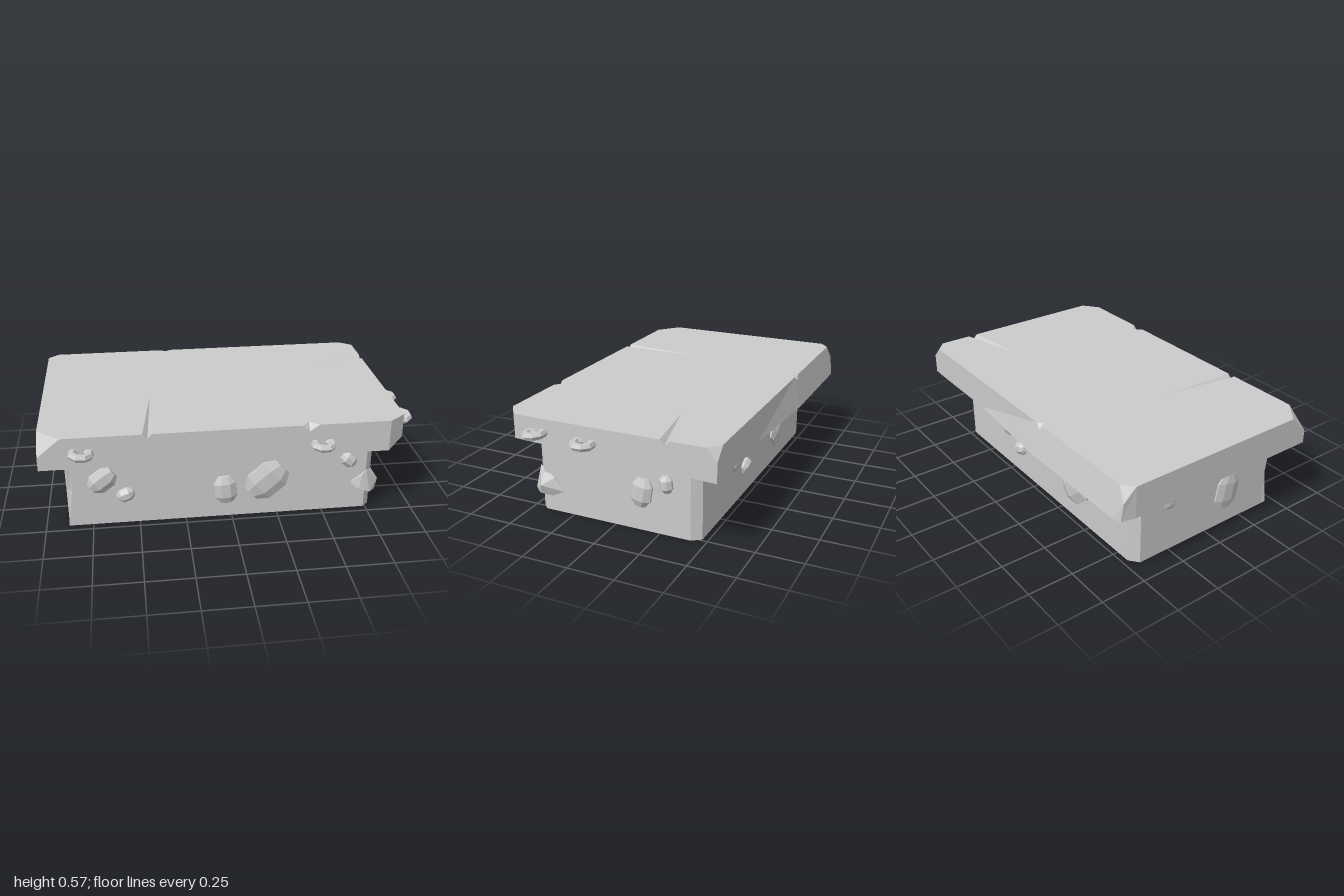
import * as THREE from 'three';
import { ConvexGeometry } from 'three/addons/geometries/ConvexGeometry.js';

const mat = new THREE.MeshStandardMaterial({ color: 0xcccccc, flatShading: true });

function named(name, geometry) {
  const m = new THREE.Mesh(geometry, mat);
  m.name = name;
  return m;
}

// Small triangle collector for faceted solids; points are [x, y, z].
function facets() {
  const pos = [];
  const tri = (a, b, c) => pos.push(...a, ...b, ...c);
  return {
    tri,
    // wall between two rings running counter-clockwise seen from above
    wall(low, high) {
      low.forEach((a, i) => {
        const j = (i + 1) % low.length;
        tri(a, low[j], high[j]);
        tri(a, high[j], high[i]);
      });
    },
    // polygon cap facing up (1) or down (-1)
    cap(ring, dir) {
      const flat = ring.map(p => new THREE.Vector2(p[0], -p[2]));
      for (const [i, j, k] of THREE.ShapeUtils.triangulateShape(flat, [])) {
        const a = flat[i], b = flat[j], c = flat[k];
        const area = (b.x - a.x) * (c.y - a.y) - (b.y - a.y) * (c.x - a.x);
        if (area * dir > 0) tri(ring[i], ring[j], ring[k]);
        else tri(ring[i], ring[k], ring[j]);
      }
    },
    mesh(name) {
      const g = new THREE.BufferGeometry();
      g.setAttribute('position', new THREE.Float32BufferAttribute(pos, 3));
      g.computeVertexNormals();
      return named(name, g);
    },
  };
}

// Stone body with bevelled corners and one corner worn in at mid height
function makeBody() {
  const outline = [[-0.88, 0.455], [-0.85, 0.455], [0.74, 0.455], [0.775, 0.42],
    [0.775, -0.42], [0.74, -0.47], [-0.83, -0.47], [-0.88, -0.43], [-0.88, 0.425]];
  const ring = y => outline.map(([x, z]) => [x, y, z]);
  const bottom = ring(0), middle = ring(0.21), top = ring(0.43);
  middle[0] = [-0.86, 0.21, 0.435];
  const f = facets();
  f.wall(bottom, middle);
  f.wall(middle, top);
  f.cap(bottom, -1);
  f.cap(top, 1);
  return f.mesh('body');
}

// Lid slab: every chip, crack and broken corner is a start, a low point, an end
// and, where it runs into the top, a tip.
function makeLid() {
  const T = 0.575;
  const edge = [
    { cut: [[-0.47, 0.56], [-0.445, 0.56], [-0.42, 0.56]], low: 0.55, tip: [-0.41, 0.09] },
    { cut: [[0.35, 0.56], [0.39, 0.56], [0.44, 0.56]], low: 0.54, tip: [0.39, 0.52] },
    { at: [0.82, 0.56] },
    { at: [0.91, 0.49] },
    { cut: [[0.91, -0.32], [0.91, -0.345], [0.91, -0.375]], low: 0.55, tip: [0.56, -0.27] },
    { cut: [[0.91, -0.555], [0.91, -0.61], [0.84, -0.61]], low: 0.51 },
    { at: [0.35, -0.61] },
    { cut: [[-0.25, -0.61], [-0.28, -0.616], [-0.31, -0.61]], low: 0.55, tip: [-0.28, -0.59] },
    { cut: [[-0.94, -0.61], [-0.99, -0.625], [-1, -0.56]], low: 0.5 },
    { cut: [[-1, 0.46], [-1, 0.56], [-0.88, 0.56]], low: 0.475 },
  ];

  const top = [], rim = [];
  const f = facets();
  for (const e of edge) {
    if (e.at) {
      const p = [e.at[0], T, e.at[1]];
      top.push(p);
      rim.push(p);
      continue;
    }
    const [a, low, b] = e.cut.map(([x, z], i) => [x, i === 1 ? e.low : T, z]);
    rim.push(a, low, b);
    if (e.tip) {
      const tip = [e.tip[0], T, e.tip[1]];
      top.push(a, tip, b);
      f.tri(a, low, tip);
      f.tri(low, b, tip);
    } else {
      top.push(a, b);
      f.tri(a, low, b);
    }
  }

  // underside: flared along the back, raised along the right edge
  const bottom = rim.map(([x, , z]) => {
    const y = x > 0.9 ? THREE.MathUtils.mapLinear(z, -0.61, 0.49, 0.405, 0.445) : 0.402;
    if (z > -0.6) return [x, y, z];
    if (x < -0.97) return [-0.985, y, -0.635];
    return [x, y, -0.61 - 0.04 * THREE.MathUtils.clamp((0.35 - x) / 0.6, 0, 1)];
  });
  f.wall(bottom, rim);
  f.cap(top, 1);
  f.cap(bottom, -1);
  return f.mesh('lid');
}

// Turn that makes local +z point out of each side
const TURN = { front: 0, right: Math.PI / 2, back: Math.PI, left: -Math.PI / 2 };

function onSide(mesh, side, x, y, z, tilt) {
  mesh.position.set(x, y, z);
  mesh.rotation.set(0, TURN[side], tilt);
  return mesh;
}

export function createModel() {
  const model = new THREE.Group();
  model.name = 'stoneChest';
  model.add(makeBody(), makeLid());

  // Embedded stones: eight-sided crystals with bevelled ends, a flat facing out
  const profile = [[0, -1], [0.55, -1], [1, -0.5], [1, 0.5], [0.55, 1], [0, 1]]
    .map(([r, y]) => new THREE.Vector2(r, y));
  const crystal = new THREE.LatheGeometry(profile, 8, Math.PI / 8);
  // side, x, y, z, width, height, tilt
  const stones = [
    ['front', -0.69, 0.27, 0.455, 0.13, 0.15, -0.9],
    ['front', -0.57, 0.175, 0.455, 0.08, 0.09, -1.2],
    ['front', -0.035, 0.17, 0.455, 0.13, 0.16, 0.1],
    ['front', 0.19, 0.21, 0.455, 0.2, 0.23, -0.85],
    ['front', 0.635, 0.305, 0.455, 0.08, 0.09, 0.9],
    ['right', 0.775, 0.215, -0.155, 0.12, 0.155, -0.15],
    ['right', 0.775, 0.285, -0.29, 0.075, 0.09, 0.1],
    ['back', 0.29, 0.27, -0.47, 0.13, 0.15, -0.9],
    ['back', 0.16, 0.17, -0.47, 0.08, 0.09, -1.2],
    ['back', -0.39, 0.21, -0.47, 0.2, 0.23, -0.85],
    ['left', -0.88, 0.305, -0.255, 0.08, 0.09, 0.3],
    ['left', -0.88, 0.2, 0.14, 0.16, 0.2, -0.2],
  ];
  for (const [side, x, y, z, w, h, tilt] of stones) {
    const stone = named('embeddedStone', crystal);
    stone.scale.set(w / 2, h / 2, side === 'left' ? 0.022 : 0.037);
    model.add(onSide(stone, side, x, y, z, tilt));
  }

  // Large jagged stone wrapped around the front corner
  const lump = [[0.65, 0.16, 0.45], [0.7, 0.13, 0.485], [0.71, 0.21, 0.48],
    [0.74, 0.235, 0.465], [0.78, 0.215, 0.42], [0.82, 0.155, 0.42], [0.8, 0.1, 0.44],
    [0.755, 0.083, 0.43], [0.76, 0.11, 0.487], [0.79, 0.2, 0.35], [0.785, 0.125, 0.3],
    [0.785, 0.09, 0.37]].map(p => new THREE.Vector3(...p));
  model.add(named('cornerStone', new ConvexGeometry(lump)));

  // Angular ring handles, set partly into the rim of the lid
  const ring = new THREE.TorusGeometry(0.047, 0.021, 6, 7, Math.PI * 1.75)
    .rotateZ(-Math.PI * 0.375).rotateX(Math.PI / 2);
  const handles = [
    ['front', -0.78, 0.495, 0.583, -0.08],
    ['front', 0.46, 0.47, 0.583, 0],
    ['right', 0.936, 0.5, 0.355, 0.12],
    ['right', 0.936, 0.492, 0.08, 0],
  ];
  for (const [side, ...place] of handles)
    model.add(onSide(named('handle', ring), side, ...place));

  return model;
}
